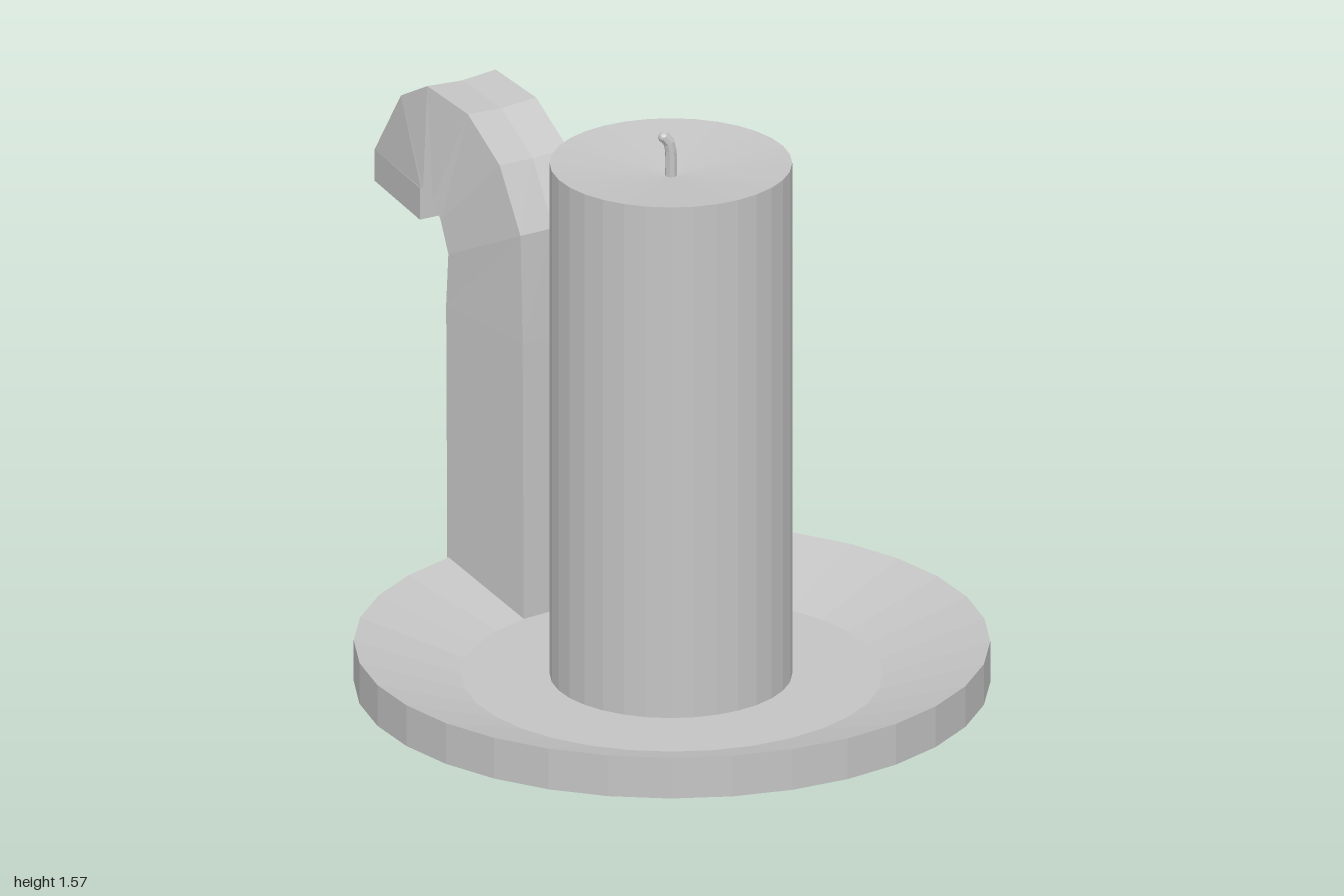
import * as THREE from 'three';

const CENTER_Z = 0.195;

// Split faces so every facet gets its own normal
function faceted(geometry) {
  const g = geometry.index ? geometry.toNonIndexed() : geometry;
  g.computeVertexNormals();
  return g;
}

function lathe(profile, segments) {
  const points = profile.map(([r, y]) => new THREE.Vector2(r, y));
  return faceted(new THREE.LatheGeometry(points, segments));
}

// Hooked handle: cross-sections given as [outer z, outer y, inner z, inner y]
function handleGeometry() {
  const sections = [
    [-0.32, 0.10, -0.59, 0.19],
    [-0.325, 0.85, -0.595, 0.88],
    [-0.335, 1.14, -0.585, 1.02],
    [-0.43, 1.30, -0.62, 1.10],
    [-0.575, 1.39, -0.655, 1.145],
    [-0.76, 1.405, -0.70, 1.16],
    [-0.88, 1.34, -0.71, 1.158],
    [-1.0, 1.155, -0.715, 1.155],
    [-1.0, 1.07, -0.715, 1.07],
  ];
  const outerHalf = 0.103, innerHalf = 0.155;
  const rings = sections.map(([oz, oy, iz, iy]) => {
    const outer = new THREE.Vector3(0, oy, oz);
    const inner = new THREE.Vector3(0, iy, iz);
    const across = inner.clone().sub(outer).normalize();
    const at = (p, x, shift) => p.clone().addScaledVector(across, shift).setX(x);
    return [
      at(outer, -outerHalf, 0), at(outer, 0, 0.007), at(outer, outerHalf, 0),
      at(inner, innerHalf, 0), at(inner, 0, 0.008), at(inner, -innerHalf, 0),
    ];
  });

  const pos = [];
  const tri = (...corners) => corners.forEach((p) => pos.push(p.x, p.y, p.z));
  for (let i = 0; i < rings.length - 1; i++) {
    for (let j = 0; j < 6; j++) {
      const k = (j + 1) % 6;
      const a = rings[i][j], b = rings[i][k], c = rings[i + 1][k], d = rings[i + 1][j];
      tri(a, b, c);
      tri(a, c, d);
    }
  }
  // End caps, fanned from the outer middle point
  const first = rings[0], last = rings[rings.length - 1];
  for (let j = 2; j < 6; j++) {
    const k = (j + 1) % 6;
    tri(first[1], first[k], first[j]);
    tri(last[1], last[j], last[k]);
  }
  const g = new THREE.BufferGeometry();
  g.setAttribute('position', new THREE.Float32BufferAttribute(pos, 3));
  return faceted(g);
}

export function createModel() {
  const group = new THREE.Group();
  const grey = new THREE.MeshStandardMaterial({ color: 0xc4c4c4 });
  grey.name = 'grey';

  const add = (name, geometry, z = 0) => {
    const mesh = new THREE.Mesh(geometry, grey);
    mesh.name = name;
    mesh.position.z = z;
    group.add(mesh);
  };

  // Shallow dish with a sloping inside wall
  add('dish', lathe([[0, 0], [0.53, 0], [0.8, 0.09], [0.8, 0.2], [0.53, 0.11], [0, 0.11]], 32), 0.2);

  // Candle with a slightly hollowed top
  add('candle', lathe([[0.305, 0.1], [0.305, 1.49], [0, 1.455]], 32), CENTER_Z);

  // Bent wick, closed by a small tip
  const path = new THREE.CatmullRomCurve3([
    new THREE.Vector3(0, 1.44, 0),
    new THREE.Vector3(0, 1.52, 0),
    new THREE.Vector3(-0.004, 1.545, -0.002),
    new THREE.Vector3(-0.016, 1.562, -0.008),
  ]);
  add('wick', faceted(new THREE.TubeGeometry(path, 6, 0.015, 8)), CENTER_Z);
  const tip = new THREE.IcosahedronGeometry(0.0145, 1);
  tip.translate(-0.016, 1.56, -0.008);
  add('wickTip', faceted(tip), CENTER_Z);

  add('handle', handleGeometry());
  return group;
}
